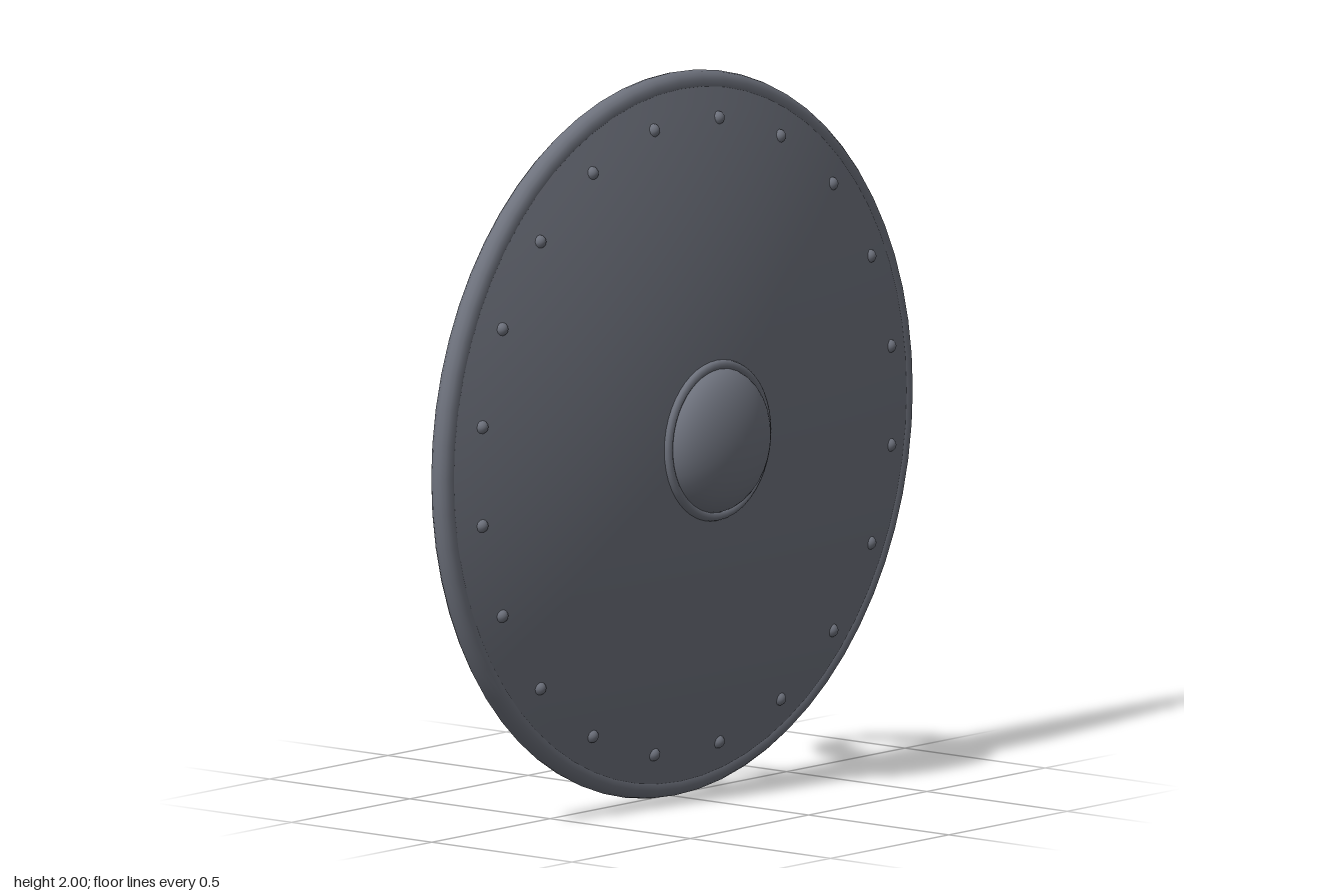
import * as THREE from 'three';
import { ParametricGeometry } from 'three/addons/geometries/ParametricGeometry.js';

const steel = new THREE.MeshStandardMaterial({ color: 0x6e727d, side: THREE.DoubleSide });
steel.name = 'steel';
const leather = new THREE.MeshStandardMaterial({ color: 0x5a402d, side: THREE.DoubleSide });
leather.name = 'leather';

// depth of the domed face at a given radius
const dishZ = (r) => 0.18 - 0.15 * r * r;

function add(parent, name, geometry, material, x = 0, y = 0, z = 0) {
  const mesh = new THREE.Mesh(geometry, material);
  mesh.name = name;
  mesh.position.set(x, y, z);
  parent.add(mesh);
  return mesh;
}

// half-ellipse loop behind the face: oval cross-section swept from top to bottom
function addLoop(parent, name, { x, z, high, deep, halfWidth, halfThick }) {
  const loop = new THREE.Group();
  loop.name = name;
  loop.position.set(x, 0, z);
  const sweep = new ParametricGeometry((u, v, target) => {
    const a = (u - 0.5) * Math.PI;
    const w = v * Math.PI * 2;
    const normal = new THREE.Vector2(Math.sin(a) / high, -Math.cos(a) / deep).normalize();
    const out = halfThick * Math.cos(w);
    target.set(
      halfWidth * Math.sin(w),
      high * Math.sin(a) + normal.x * out,
      -deep * Math.cos(a) + normal.y * out
    );
  }, 16, 12);
  add(loop, name + 'Band', sweep, leather);
  for (const side of [-1, 1]) {
    const cap = new THREE.CircleGeometry(1, 12).scale(halfWidth, halfThick, 1);
    add(loop, name + 'End', cap, leather, 0, side * high, 0);
  }
  parent.add(loop);
}

export function createModel() {
  const model = new THREE.Group();
  model.name = 'roundShield';
  const shield = new THREE.Group();
  shield.name = 'shield';
  shield.position.y = 1;
  model.add(shield);

  // domed face
  const profile = [];
  for (let i = 0; i <= 16; i++) {
    const r = 0.97 * (1 - i / 16);
    profile.push(new THREE.Vector2(r, dishZ(r)));
  }
  add(shield, 'face', new THREE.LatheGeometry(profile, 64).rotateX(Math.PI / 2), steel);

  // rolled rim
  add(shield, 'rim', new THREE.TorusGeometry(0.968, 0.032, 14, 64), steel, 0, 0, 0.013);

  // centre boss and its collar
  const boss = new THREE.SphereGeometry(0.2, 32, 12, 0, Math.PI * 2, 0, Math.PI / 2);
  add(shield, 'boss', boss.rotateX(Math.PI / 2).scale(1, 1, 0.5), steel, 0, 0, 0.17);
  add(shield, 'bossRing', new THREE.TorusGeometry(0.208, 0.014, 10, 48), steel, 0, 0, 0.174);

  // rivets round the edge
  const rivet = new THREE.SphereGeometry(0.019, 12, 6, 0, Math.PI * 2, 0, Math.PI / 2)
    .rotateX(Math.PI / 2);
  for (let i = 0; i < 20; i++) {
    const a = (i + 0.5) * Math.PI / 10;
    add(shield, 'rivet', rivet, steel, 0.873 * Math.cos(a), 0.873 * Math.sin(a), 0.061);
  }

  // wide arm strap and narrow hand grip
  addLoop(shield, 'armStrap', {
    x: 0.155, z: 0.13, high: 0.237, deep: 0.39, halfWidth: 0.07, halfThick: 0.011
  });
  addLoop(shield, 'handGrip', {
    x: -0.475, z: 0.1, high: 0.16, deep: 0.317, halfWidth: 0.032, halfThick: 0.016
  });

  return model;
}
